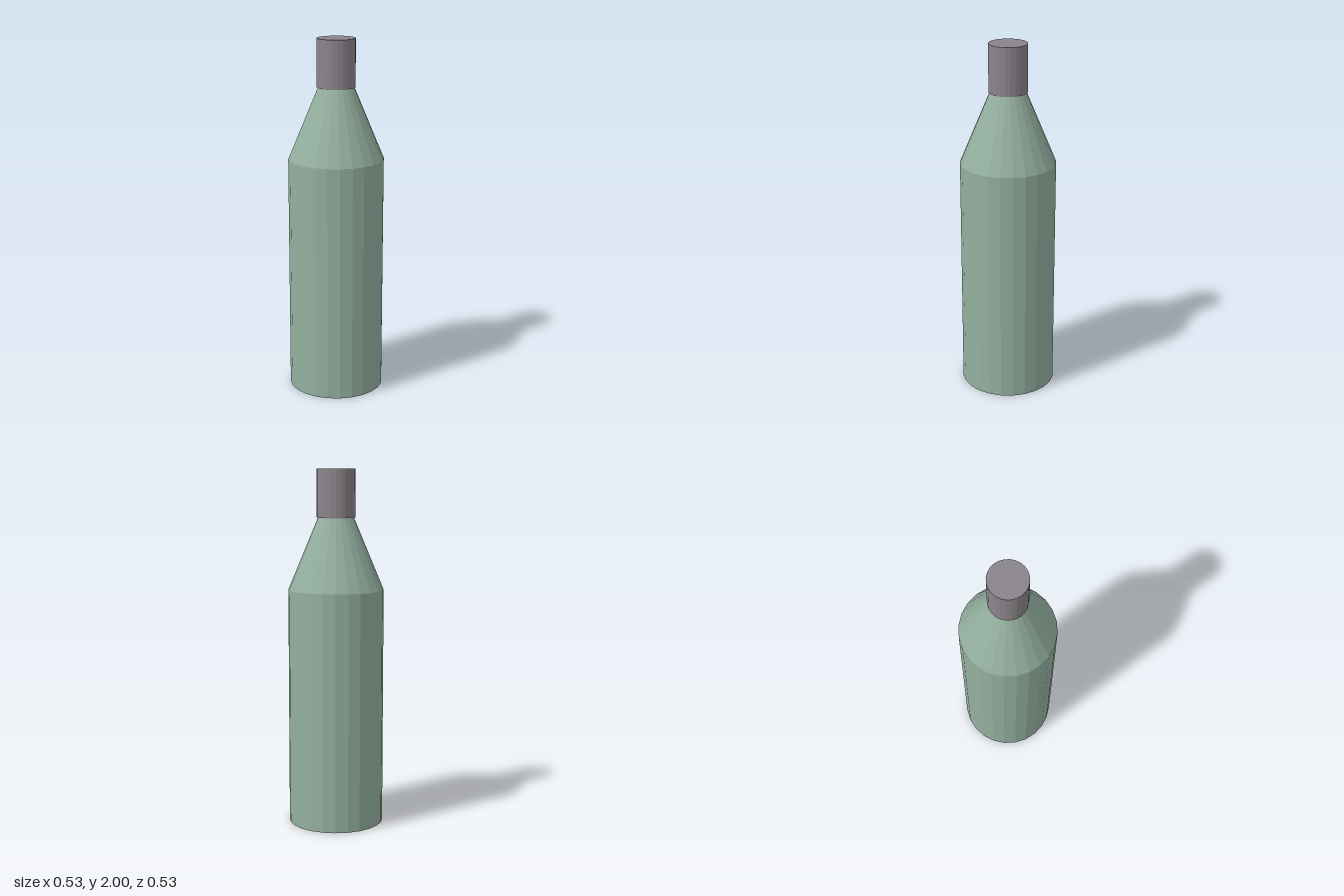
import * as THREE from 'three';

const SIDES = 24;

export function createModel() {
  const green = new THREE.MeshStandardMaterial({ color: 0x94b0a0, flatShading: true });
  green.name = 'sage green';
  const grey = new THREE.MeshStandardMaterial({ color: 0x8a858b, flatShading: true });
  grey.name = 'warm grey';

  const model = new THREE.Group();
  model.name = 'bottle';

  // Upright round section between two heights
  function section(name, rBottom, rTop, y0, y1, material, open = false) {
    const geometry = new THREE.CylinderGeometry(rTop, rBottom, y1 - y0, SIDES, 1, open);
    const mesh = new THREE.Mesh(geometry, material);
    mesh.name = name;
    mesh.position.y = (y0 + y1) / 2;
    model.add(mesh);
  }

  // Body with a closed base
  section('body', 0.267, 0.267, 0, 1.333, green);
  // Tapering shoulder
  section('shoulder', 0.267, 0.1, 1.333, 1.733, green, true);
  // Stopper, slightly wider than the neck
  section('stopper', 0.107, 0.107, 1.733, 2, grey);

  return model;
}
